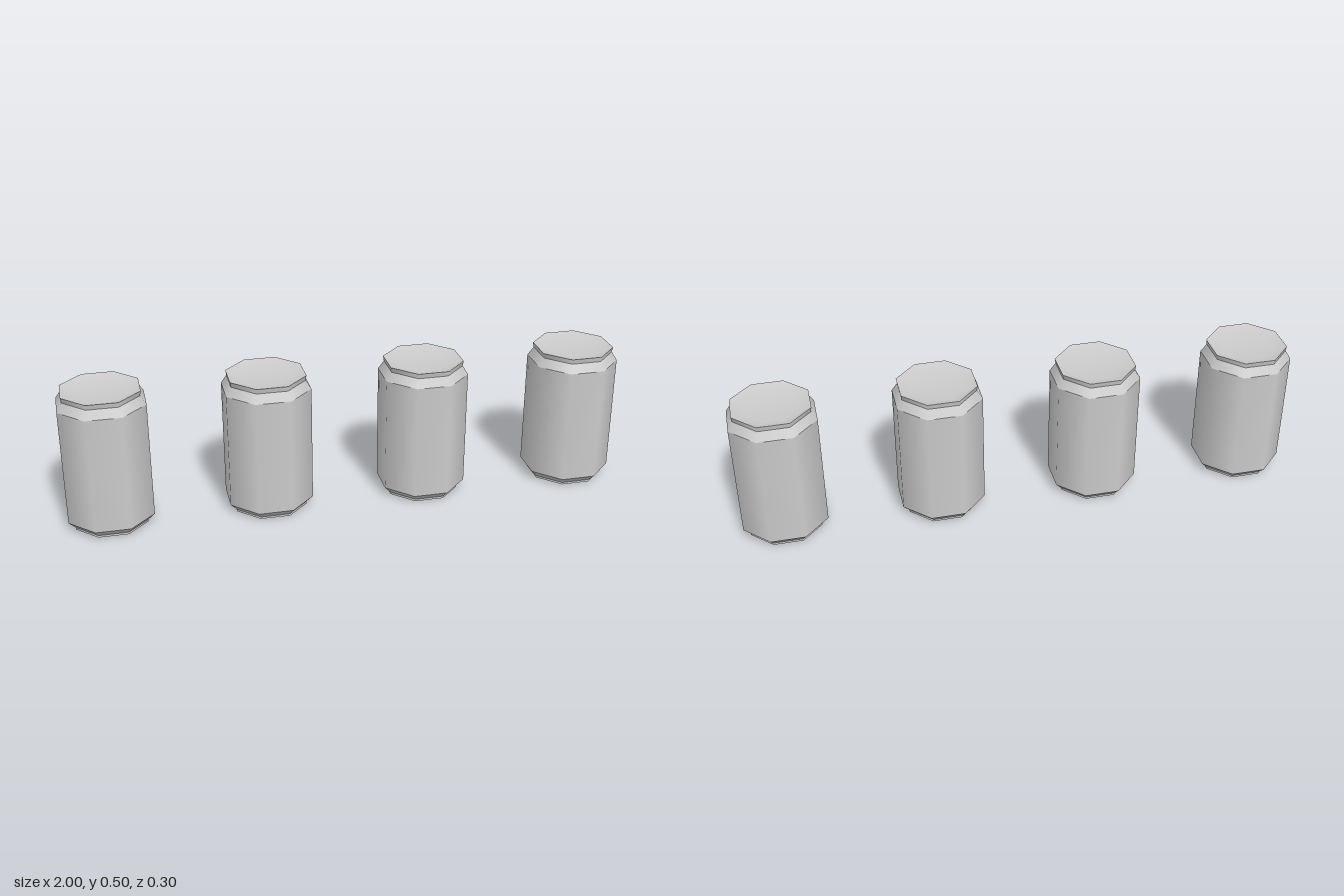
import * as THREE from 'three';

const SIDES = 8;
const TO_CORNER = 1 / Math.cos(Math.PI / SIDES); // half width across flats -> corner radius

// Each band is shaded smoothly on its own, so the edges between bands stay sharp.
// Profiles are [half width across flats, height], running from the base up to the lid centre.
const BANDS = {
  base: [[0, 0], [0.126, 0]],
  foot: [[0.126, 0], [0.126, 0.008]],
  lowerTaper: [[0.126, 0.008], [0.149, 0.033]],
  body: [[0.149, 0.033], [0.149, 0.456]],
  shoulder: [[0.149, 0.456], [0.13, 0.487]],
  rim: [[0.13, 0.487], [0.133, 0.505]],
  lid: [[0.133, 0.505], [0.085, 0.49], [0, 0.49]],
};

function bandGeometry(profile) {
  const points = profile.map(([r, y]) => new THREE.Vector2(r * TO_CORNER, y));
  return new THREE.LatheGeometry(points, SIDES, Math.PI / SIDES);
}

export function createModel() {
  const group = new THREE.Group();
  group.name = 'cans';
  const material = new THREE.MeshStandardMaterial({ color: 0xcccccc });
  const parts = Object.entries(BANDS).map(([name, profile]) => [name, bandGeometry(profile)]);

  // Row of four identical cans
  for (let i = 0; i < 4; i++) {
    const can = new THREE.Group();
    can.name = `can${i + 1}`;
    can.position.x = (i - 1.5) * 0.567;
    for (const [name, geometry] of parts) {
      const mesh = new THREE.Mesh(geometry, material);
      mesh.name = name;
      can.add(mesh);
    }
    group.add(can);
  }
  return group;
}
